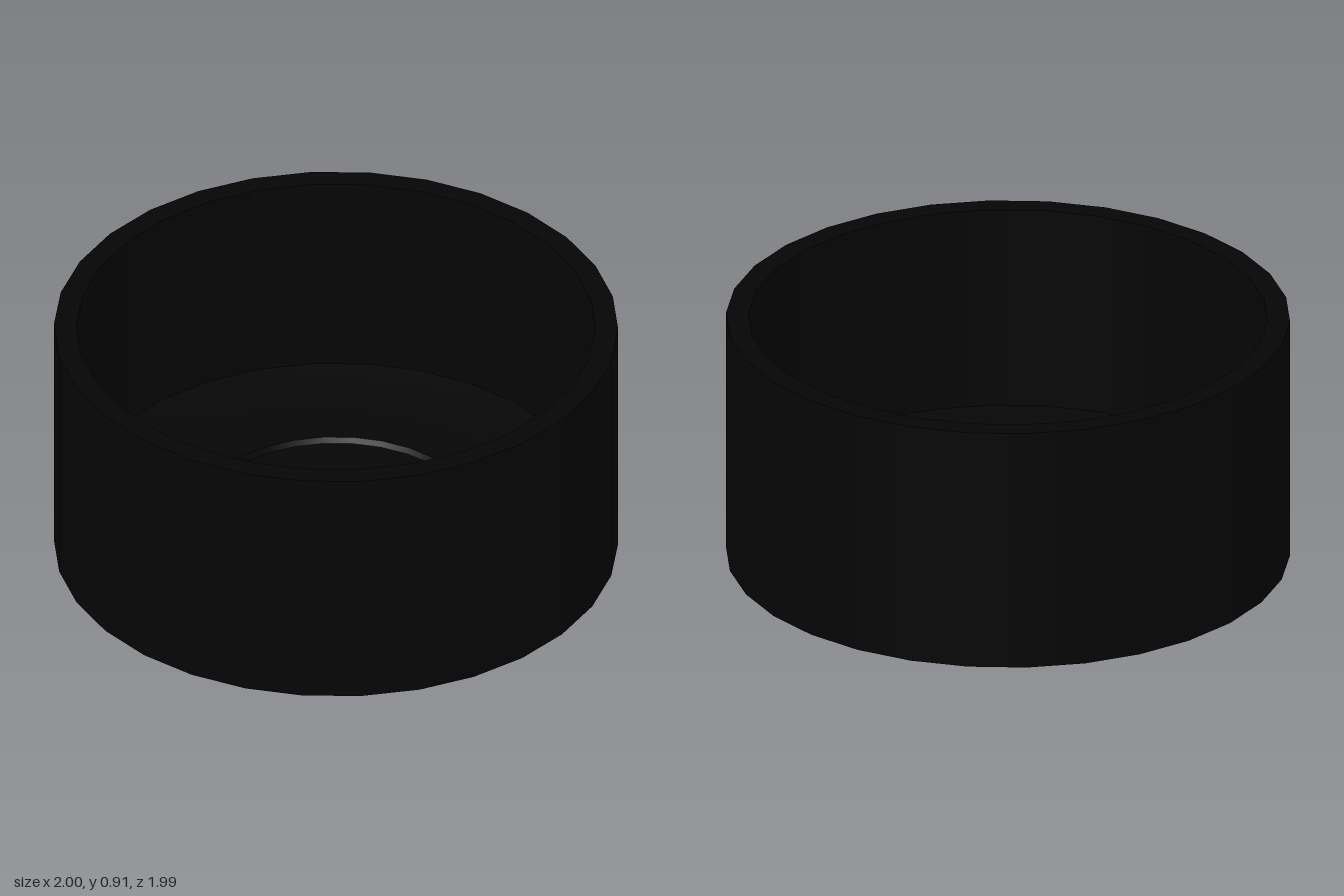
import * as THREE from 'three';

const SIDES = 30;

export function createModel() {
  const model = new THREE.Group();
  model.name = 'roundTray';
  const black = new THREE.MeshStandardMaterial({ color: 0x050505 });

  // Turned surface; each profile is one smooth stretch, so edges between them stay sharp
  const turned = (name, profile) => {
    const points = profile.map(([r, y]) => new THREE.Vector2(r, y));
    const mesh = new THREE.Mesh(new THREE.LatheGeometry(points, SIDES, Math.PI / 2), black);
    mesh.name = name;
    model.add(mesh);
  };

  // Shallow dish curve from an outer radius and height to an inner one
  const dish = (r0, y0, r1, y1, steps = 8) =>
    Array.from({ length: steps + 1 }, (_, i) => {
      const t = i / steps;
      return [r0 + (r1 - r0) * t, y1 + (y0 - y1) * (1 - t) ** 2];
    });

  // Outer shell
  turned('underside', [[0, 0], [1, 0]]);
  turned('outerWall', [[1, 0], [1, 0.91]]);
  turned('rim', [[1, 0.91], [0.92, 0.91]]);
  turned('innerWall', [[0.92, 0.91], [0.92, 0.15]]);

  // Dished floor with a small round step
  turned('outerFloor', dish(0.92, 0.15, 0.505, 0.11));
  turned('floorStep', [[0.505, 0.11], [0.495, 0.09]]);
  turned('centreFloor', dish(0.495, 0.09, 0, 0.07));

  return model;
}
